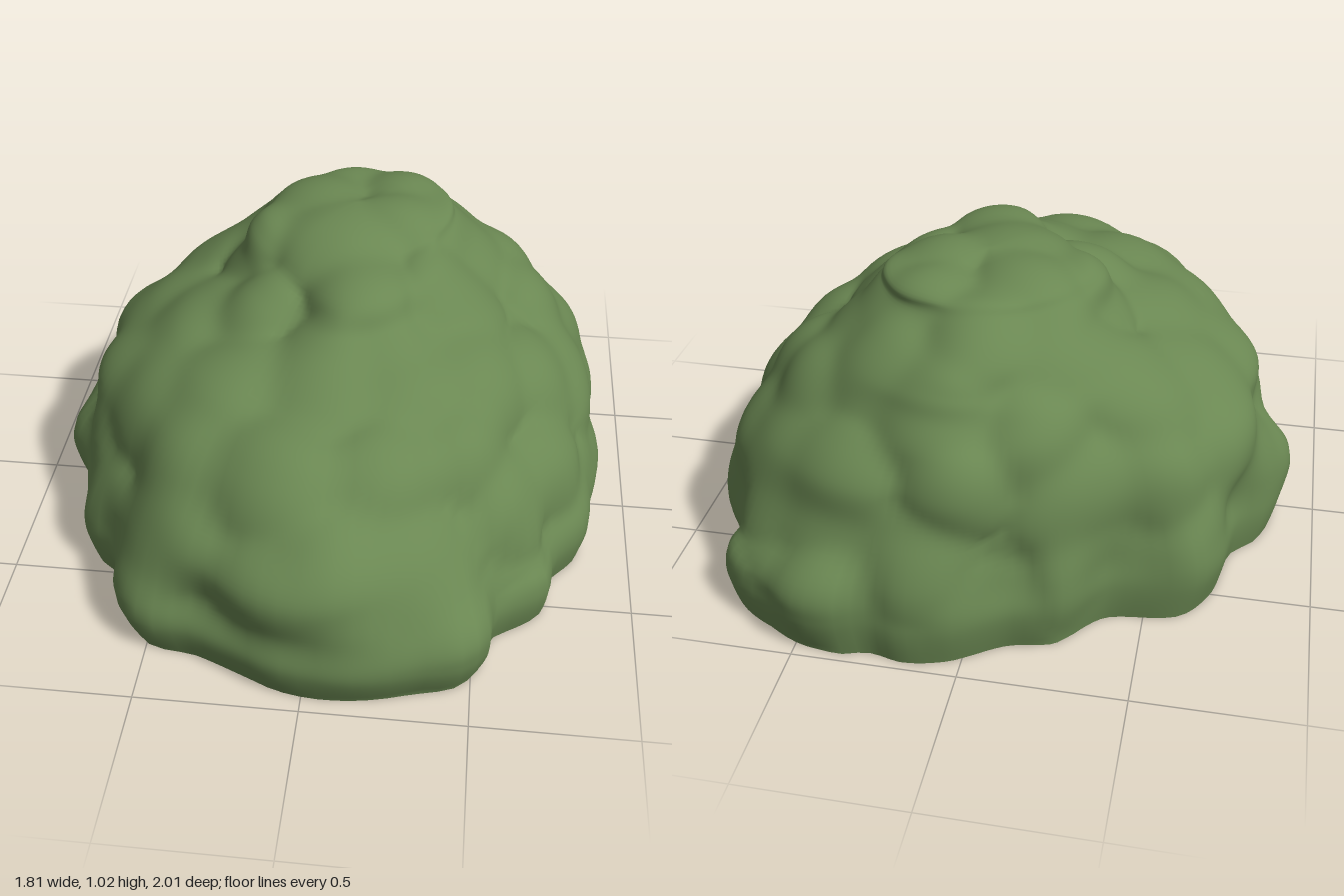
import * as THREE from 'three';

const AROUND = 144, UP = 90;
const AXIS = { x: .05, z: -.25 };

// widest outline near the ground [x, z], seen from above
const OUTLINE = [
  [.38, -1], [.53, -.98], [.76, -.8], [.78, -.65], [.88, -.45], [.87, -.2], [.9, -.04], [.86, .15], [.85, .28],
  [.75, .42], [.73, .55], [.57, .7], [.56, .8], [.48, .9], [.38, .94], [.13, .99], [0, .98], [-.12, .95],
  [-.35, .85], [-.5, .83], [-.6, .72], [-.65, .55], [-.76, .45], [-.79, .3], [-.83, .15], [-.9, .03], [-.84, -.2],
  [-.76, -.3], [-.71, -.52], [-.63, -.63], [-.4, -.68], [-.27, -.84], [-.12, -.87], [.05, -.97], [.17, -.99], [.28, -.97],
];

// higher contours: height and reach from the axis, every 22.5 degrees from +x towards +z
const CONTOURS = [
  { y: .4, r: [.78, .85, .9, 1.05, 1.22, 1.13, 1, .9, .83, .76, .62, .64, .66, .7, .76, .8] },
  { y: .53, r: [.72, .75, .82, .95, 1.12, 1.05, .93, .87, .8, .71, .6, .61, .64, .67, .7, .72] },
  { y: .64, r: [.64, .66, .73, .85, 1, .95, .84, .74, .67, .62, .56, .57, .6, .6, .62, .64] },
  { y: .72, r: [.56, .57, .62, .72, .87, .83, .72, .61, .56, .53, .52, .52, .53, .53, .55, .57] },
  { y: .78, r: [.47, .47, .5, .58, .65, .65, .56, .5, .48, .46, .46, .48, .5, .49, .49, .49] },
  { y: .85, r: [.37, .38, .42, .5, .55, .5, .44, .39, .37, .37, .39, .42, .45, .42, .41, .39] },
  { y: .93, r: [.31, .31, .34, .42, .47, .38, .34, .33, .33, .32, .31, .31, .32, .32, .33, .32] },
  { y: .98, r: [.26, .25, .22, .2, .2, .2, .22, .24, .25, .25, .25, .25, .25, .27, .29, .28] },
];
const TOP = 1.02;

// distinct leaf clumps near the crown: x, y, z, radius
const CROWN = [
  [-.1, 1, -.35, .2], [.2, 1.02, -.23, .18], [.2, 1.02, -.45, .18], [.1, .9, .13, .2], [-.25, .81, .1, .17],
  [0, .91, -.58, .22], [.65, .5, -.7, .26], [.45, .17, .82, .2],
];

function seeded(seed) {
  return () => (seed = (seed * 16807) % 2147483647) / 2147483647;
}

// reach from the axis at evenly spaced angles, along a closed curve through the points
function reaches(points) {
  const curve = new THREE.CatmullRomCurve3(points.map(([x, z]) => new THREE.Vector3(x - AXIS.x, 0, z - AXIS.z)), true);
  const polar = curve.getSpacedPoints(1500).map((p) => ({ a: Math.atan2(p.z, p.x), r: Math.hypot(p.x, p.z) }));
  return Array.from({ length: AROUND }, (_, i) => {
    const a = (i / AROUND) * 2 * Math.PI - Math.PI;
    return polar.reduce((best, q) => (Math.abs(q.a - a) < Math.abs(best.a - a) ? q : best)).r;
  });
}

// smooth dome lofted through the contours
function domeGeometry() {
  const foot = reaches(OUTLINE);
  const rings = [{ y: 0, r: foot.map((r) => r * .97) }, { y: .13, r: foot }, { y: .24, r: foot.map((r) => r * .985) }];
  for (const { y, r } of CONTOURS) {
    const points = r.map((d, k) => [AXIS.x + d * Math.cos(k * Math.PI / 8), AXIS.z + d * Math.sin(k * Math.PI / 8)]);
    rings.push({ y, r: reaches(points) });
  }
  rings.push({ y: TOP, r: foot.map(() => 0) });

  const pos = [], index = [], peak = UP * AROUND;
  const rails = foot.map((_, i) => new THREE.SplineCurve(rings.map((ring) => new THREE.Vector2(ring.r[i], ring.y))));
  for (let j = 0; j < UP; j++) {
    rails.forEach((rail, i) => {
      const p = rail.getPoint(j / UP), a = (i / AROUND) * 2 * Math.PI - Math.PI;
      pos.push(AXIS.x + p.x * Math.cos(a), p.y, AXIS.z + p.x * Math.sin(a));
      const low = j * AROUND + i, next = j * AROUND + ((i + 1) % AROUND);
      if (j < UP - 1) index.push(low, low + AROUND, next, next, low + AROUND, next + AROUND);
      else index.push(low, peak, next);
    });
  }
  pos.push(AXIS.x, TOP, AXIS.z);
  const geo = new THREE.BufferGeometry();
  geo.setAttribute('position', new THREE.Float32BufferAttribute(pos, 3));
  geo.setIndex(index);
  geo.computeVertexNormals();
  return geo;
}

// scatter rounded clumps over the dome and push the surface out around them
function addClumps(geo) {
  const P = geo.attributes.position, N = geo.attributes.normal, random = seeded(41);
  const clumps = CROWN.map(([x, y, z, r]) => ({ c: new THREE.Vector3(x, y, z), r }));
  const v = new THREE.Vector3(), n = new THREE.Vector3();
  for (let i = 0; i < 3000; i++) {
    v.fromBufferAttribute(P, Math.floor(random() * P.count));
    if (clumps.every((q) => q.c.distanceTo(v) > .24)) clumps.push({ c: v.clone(), r: .19 + random() * .08 });
  }
  const moved = [];
  for (let i = 0; i < P.count; i++) {
    v.fromBufferAttribute(P, i);
    n.fromBufferAttribute(N, i);
    let sum = 1;
    for (const { c, r } of clumps) {
      const d = 1 - c.distanceToSquared(v) / (r * r);
      if (d > 0) sum += Math.exp(5 * d) - 1;
    }
    const bump = Math.log(sum) / 5;
    // clumps fade out towards the ground
    const strength = .065 * THREE.MathUtils.lerp(.3, 1, THREE.MathUtils.smoothstep(v.y, 0, .5));
    v.addScaledVector(n, strength * (bump - .75));
    moved.push(v.x, i < AROUND ? 0 : Math.max(v.y, .004), v.z);
  }
  P.array.set(moved);
  geo.computeVertexNormals();
}

// flat underside
function baseGeometry(dome) {
  const pos = [0, 0, 0], index = [];
  for (let i = 0; i < AROUND; i++) {
    pos.push(dome.attributes.position.getX(i), 0, dome.attributes.position.getZ(i));
    index.push(0, i + 1, ((i + 1) % AROUND) + 1);
  }
  const geo = new THREE.BufferGeometry();
  geo.setAttribute('position', new THREE.Float32BufferAttribute(pos, 3));
  geo.setIndex(index);
  geo.computeVertexNormals();
  return geo;
}

export function createModel() {
  const group = new THREE.Group();
  group.name = 'bush';
  const material = new THREE.MeshStandardMaterial({ color: 0x6a8752 });
  const dome = domeGeometry();
  addClumps(dome);
  const foliage = new THREE.Mesh(dome, material);
  foliage.name = 'foliage';
  const base = new THREE.Mesh(baseGeometry(dome), material);
  base.name = 'underside';
  group.add(foliage, base);
  return group;
}
